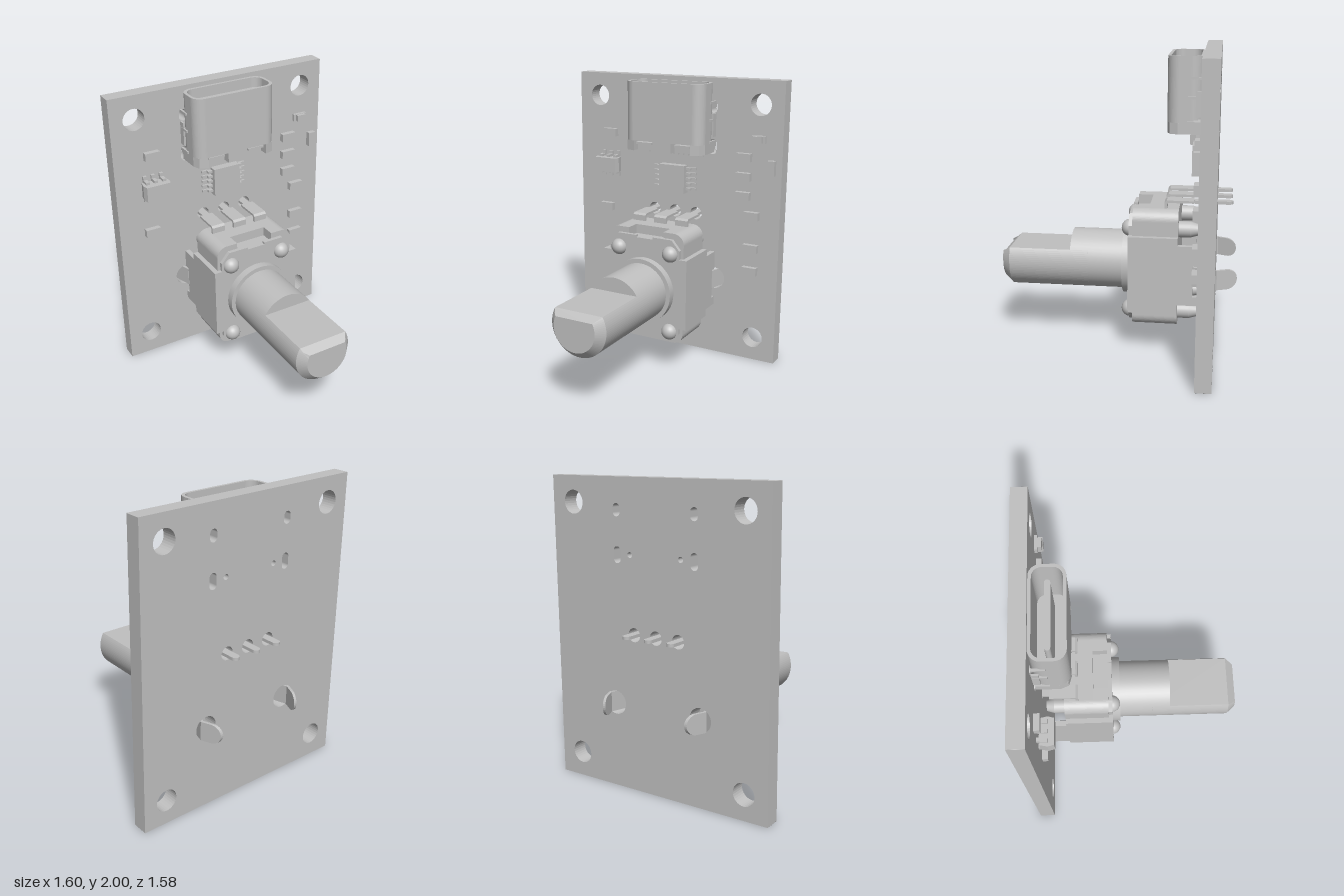
import * as THREE from 'three';

const grey = new THREE.MeshStandardMaterial({ color: 0xc0c0c0 });
grey.name = 'plain grey';

export function createModel() {
  const model = new THREE.Group();
  model.name = 'encoderBoard';
  const BOARD = -0.545; // front face of the board

  const add = (name, geometry, parent = model) => {
    const mesh = new THREE.Mesh(geometry, grey);
    mesh.name = name;
    parent.add(mesh);
    return mesh;
  };
  const group = (name) => {
    const g = new THREE.Group();
    g.name = name;
    model.add(g);
    return g;
  };
  // box given by its limits
  const box = (name, x0, x1, y0, y1, z0, z1, parent) =>
    add(name, new THREE.BoxGeometry(x1 - x0, y1 - y0, z1 - z0)
      .translate((x0 + x1) / 2, (y0 + y1) / 2, (z0 + z1) / 2), parent);
  const poly = (pts) => new THREE.Shape(pts.map((p) => new THREE.Vector2(...p)));
  const rounded = (x0, x1, y0, y1, r, Type = THREE.Shape) => {
    const s = new Type();
    s.absarc(x1 - r, y1 - r, r, 0, Math.PI / 2);
    s.absarc(x0 + r, y1 - r, r, Math.PI / 2, Math.PI);
    s.absarc(x0 + r, y0 + r, r, Math.PI, Math.PI * 1.5);
    s.absarc(x1 - r, y0 + r, r, Math.PI * 1.5, Math.PI * 2);
    s.closePath();
    return s;
  };
  const extrude = (shape, depth, curveSegments = 8) =>
    new THREE.ExtrudeGeometry(shape, { depth, bevelEnabled: false, curveSegments });
  // shape in (x, y), between two z
  const alongZ = (shape, z0, z1, seg) => extrude(shape, z1 - z0, seg).translate(0, 0, z0);
  // shape in (x, -z), between two y
  const alongY = (shape, y0, y1) => extrude(shape, y1 - y0).rotateX(-Math.PI / 2).translate(0, y0, 0);
  // shape in (-z, y), centred on x
  const alongX = (shape, x, w) => extrude(shape, w).translate(0, 0, -w / 2).rotateY(Math.PI / 2).translate(x, 0, 0);
  const disc = (r0, r1, z0, z1, x, y, seg = 32) =>
    new THREE.CylinderGeometry(r1, r0, z1 - z0, seg).rotateX(Math.PI / 2).translate(x, y, (z0 + z1) / 2);

  // Board with its mounting, lug, pin and connector holes
  const board = rounded(-0.8, 0.8, 0, 2, 0.002);
  const hole = (x, y, r) => board.holes.push(new THREE.Path().absarc(x, y, r, 0, Math.PI * 2));
  for (const s of [-1, 1]) {
    hole(s * 0.633, 0.167, 0.075);
    hole(s * 0.633, 1.835, 0.075);
    hole(s * 0.325, 0.57, 0.078);
    hole(s * 0.19, 1.53, 0.018);
    for (const [y, h] of [[1.8, 0.04], [1.525, 0.052]])
      board.holes.push(rounded(s * 0.288 - 0.026, s * 0.288 + 0.026, y - h, y + h, 0.025, THREE.Path));
  }
  for (const x of [-0.167, 0, 0.167]) hole(x, 1.032, 0.045);
  add('board', alongZ(board, -0.65, BOARD, 16));

  // Port: hollow shell, notched base, tongue, side legs and contacts
  const port = group('port');
  const shell = rounded(-0.3, 0.3, 0.322, 0.545, 0.075);
  shell.holes.push(rounded(-0.28, 0.28, 0.342, 0.525, 0.06, THREE.Path));
  add('portShell', alongY(shell, 1.56, 1.97), port);
  add('portFloor', alongY(rounded(-0.285, 0.285, 0.335, 0.53, 0.06), 1.56, 1.6), port);
  add('portBase', alongY(poly([[-0.3, 0.54], [-0.3, 0.39], [-0.28, 0.34], [-0.22, 0.322], [-0.22, 0.385],
    [-0.07, 0.385], [-0.07, 0.322], [0.07, 0.322], [0.07, 0.385], [0.22, 0.385], [0.22, 0.322],
    [0.28, 0.34], [0.3, 0.39], [0.3, 0.54]]), 1.49, 1.56), port);
  add('portTongue', alongY(rounded(-0.22, 0.22, 0.417, 0.453, 0.017), 1.56, 1.93), port);
  for (const s of [-1, 1]) {
    box('portCatch', s * 0.15 - 0.06, s * 0.15 + 0.06, 1.535, 1.55, -0.385, -0.335, port);
    const px = s * 0.302;
    for (const [y0, y1] of [[1.83, 1.845], [1.71, 1.725], [1.56, 1.575]])
      box('portLeg', px - 0.008, px + 0.008, y0, y1, -0.54, -0.45, port);
    box('portLegPlate', px - 0.006, px + 0.006, 1.6, 1.76, -0.545, -0.5, port);
  }
  for (let i = 0; i < 12; i++) {
    const x = -0.215 + i * 0.0391;
    box('portContact', x - 0.008, x + 0.008, 1.45, 1.5, BOARD, -0.525, port);
  }

  // Square chip with five pins a side
  const chip = group('squareChip');
  box('chipBody', -0.1, 0.1, 1.18, 1.38, -0.535, -0.477, chip);
  for (const s of [-1, 1]) for (let i = 0; i < 5; i++) {
    const y = 1.21 + i * 0.0365;
    box('chipPinFoot', s * 0.145 - 0.024, s * 0.145 + 0.024, y - 0.008, y + 0.008, BOARD, -0.53, chip);
    box('chipPinRise', s * 0.116 - 0.018, s * 0.116 + 0.018, y - 0.008, y + 0.008, -0.535, -0.505, chip);
  }

  // Small six-pin chip with sloped sides
  const small = group('smallChip');
  add('smallChipBody', alongY(poly([[-0.63, 0.48], [-0.62, 0.44], [-0.45, 0.44], [-0.44, 0.48],
    [-0.45, 0.53], [-0.62, 0.53]].reverse()), 1.285, 1.39), small);
  for (const x of [-0.595, -0.535, -0.475]) for (const s of [-1, 1]) {
    const y = 1.3375;
    const a = y + s * 0.08, b = y + s * 0.06;
    box('smallPinFoot', x - 0.013, x + 0.013, a - 0.014, a + 0.014, BOARD, -0.525, small);
    box('smallPinRise', x - 0.013, x + 0.013, b - 0.01, b + 0.01, -0.54, -0.48, small);
  }

  // Resistors and capacitors
  const parts = [[-0.535, 1.57], [-0.567, 1.005], [0.53, 1.475], [0.53, 1.34], [0.53, 1.205],
    [0.6, 1.07], [0.6, 0.835], [0.6, 0.67]];
  for (const [x, y] of parts) box('resistor', x - 0.053, x + 0.053, y - 0.028, y + 0.028, BOARD, -0.508);
  box('capacitor', 0.704, 0.757, 1.365, 1.468, BOARD, -0.508);
  box('lampBase', 0.58, 0.68, 1.58, 1.63, BOARD, -0.525);
  box('lampLens', 0.597, 0.663, 1.583, 1.627, -0.525, -0.5);

  // Encoder housing, with a recess at the top of its front
  const CY = 0.57;
  const encoder = group('encoder');
  const housing = (y1) => rounded(-0.29, 0.29, 0.2, y1, 0.075);
  add('housingBack', alongZ(housing(0.99), -0.405, -0.21), encoder);
  const front = new THREE.Shape();
  front.absarc(-0.215, 0.275, 0.075, Math.PI, Math.PI * 1.5);
  front.absarc(0.215, 0.275, 0.075, Math.PI * 1.5, Math.PI * 2);
  front.absarc(0.215, 0.915, 0.075, 0, Math.PI / 2);
  for (const p of [[0.135, 0.99], [0.135, 0.925], [-0.135, 0.925], [-0.135, 0.99]]) front.lineTo(...p);
  front.absarc(-0.215, 0.915, 0.075, Math.PI / 2, Math.PI);
  add('housingFront', alongZ(front, -0.21, -0.11), encoder);

  // Metal bracket: front plate, side plates and kinked lugs
  add('bracketFront', alongZ(poly([[-0.325, 0.32], [-0.27, 0.32], [-0.27, 0.28], [-0.2, 0.215], [0.2, 0.215],
    [0.27, 0.28], [0.27, 0.32], [0.325, 0.32], [0.325, 0.82], [0.27, 0.82], [0.27, 0.88], [0.21, 0.95],
    [0.065, 0.95], [0.065, 0.935], [-0.065, 0.935], [-0.065, 0.95], [-0.21, 0.95], [-0.27, 0.88],
    [-0.27, 0.82], [-0.325, 0.82]]), -0.11, -0.083), encoder);
  const side = [[0.1, 0.32], [0.405, 0.32], [0.405, 0.37], [0.54, 0.37], [0.54, 0.43], [0.505, 0.43],
    [0.505, 0.64], [0.54, 0.64], [0.54, 0.77], [0.405, 0.77], [0.405, 0.82], [0.1, 0.82]];
  const lean = (geometry, s, u0, slope) => {
    const p = geometry.attributes.position;
    for (let i = 0; i < p.count; i++) p.setX(i, p.getX(i) + s * slope * (-p.getZ(i) - u0));
    geometry.computeVertexNormals();
    return geometry;
  };
  const tip = new THREE.Shape();
  tip.moveTo(0.66, 0.635);
  tip.lineTo(0.66, 0.505);
  tip.lineTo(0.72, 0.505);
  tip.absarc(0.722, CY, 0.065, -Math.PI / 2, Math.PI / 2);
  for (const s of [-1, 1]) {
    add('bracketSide', alongX(poly(side), s * 0.307, 0.036), encoder);
    add('lugRoot', lean(alongX(poly([[0.5, 0.505], [0.66, 0.505], [0.66, 0.635], [0.5, 0.635]]),
      s * 0.318, 0.02), s, 0.5, 0.3), encoder);
    add('lugTip', lean(alongX(tip, s * 0.366, 0.02), s, 0.66, -0.42), encoder);
    // Rivets and rear posts
    for (const y of [0.29, 0.85]) {
      add('rivet', new THREE.SphereGeometry(0.057, 24, 16).translate(s * 0.2, y, -0.088), encoder);
      add('post', disc(0.053, 0.053, -0.48, -0.4, s * 0.2, y, 24), encoder);
      add('postEnd', disc(0.038, 0.053, -0.53, -0.48, s * 0.2, y, 24), encoder);
    }
  }

  // Bent signal pins reaching through the board
  for (const x of [-0.167, 0, 0.167]) {
    add('pinBend', alongX(poly([[0.31, 0.985], [0.328, 0.985], [0.328, 1.02], [0.335, 1.027], [0.5, 1.027],
      [0.5, 1.043], [0.325, 1.043], [0.31, 1.03]]), x, 0.097), encoder);
    const pin = new THREE.Shape();
    pin.moveTo(x - 0.027, 0.49);
    pin.lineTo(x + 0.027, 0.49);
    pin.lineTo(x + 0.027, 0.72);
    pin.absarc(x, 0.723, 0.027, 0, Math.PI);
    add('pinTip', alongY(pin, 1.022, 1.042), encoder);
  }

  // Collar and shaft with a chamfered flat
  add('collar', disc(0.23, 0.23, -0.09, -0.03, 0, CY, 48), encoder);
  add('shaft', disc(0.2, 0.2, -0.05, 0.322, 0, CY, 48), encoder);
  const a = Math.asin(0.5);
  const flat = new THREE.Shape().absarc(0, 0, 0.2, Math.PI - a, Math.PI * 2 + a);
  flat.closePath();
  add('shaftFlat', new THREE.ExtrudeGeometry(flat, {
    depth: 0.535, curveSegments: 32, bevelSegments: 1, bevelSize: 0.05, bevelOffset: -0.05, bevelThickness: 0.055,
  }).translate(0, CY, 0.2), encoder);

  return model;
}
